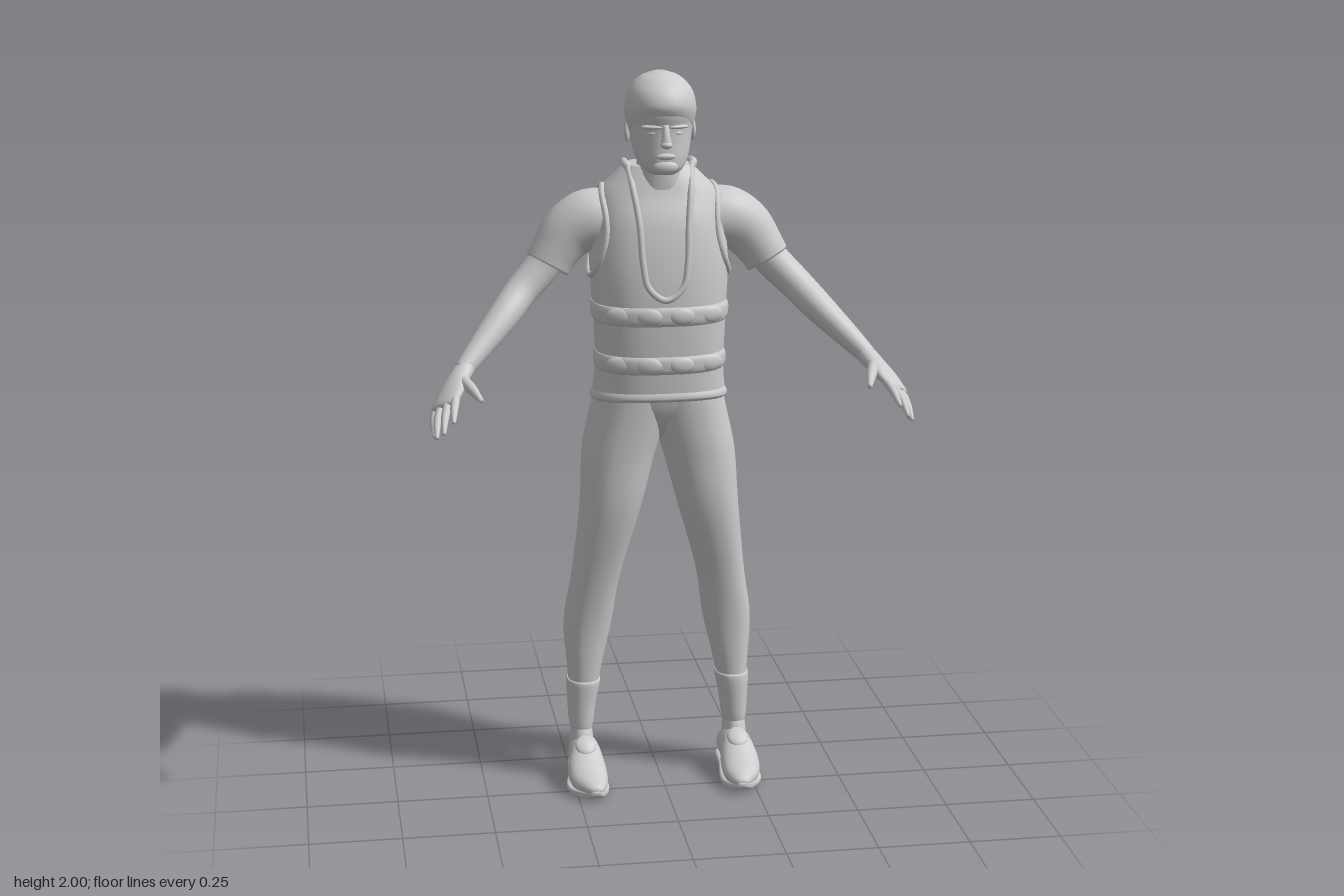
import * as THREE from 'three';

const V3 = (x, y, z) => new THREE.Vector3(x, y, z);

// Smooth interpolation through a list of number rows, t in 0..1
function sample(rows, t) {
  const f = Math.min(Math.max(t, 0), 1) * (rows.length - 1);
  const i = Math.min(Math.floor(f), rows.length - 2), u = f - i;
  const at = (k) => rows[Math.min(Math.max(k, 0), rows.length - 1)];
  const [a, b, c, d] = [at(i - 1), at(i), at(i + 1), at(i + 2)];
  return b.map((_, k) => {
    const m0 = (c[k] - a[k]) / 2, m1 = (d[k] - b[k]) / 2, u2 = u * u, u3 = u2 * u;
    return (2 * u3 - 3 * u2 + 1) * b[k] + (u3 - 2 * u2 + u) * m0 + (3 * u2 - 2 * u3) * c[k] + (u3 - u2) * m1;
  });
}

// Closed skin over superellipse rings {c, U, V}, with end caps
function skin(rings, n = 2, seg = 28) {
  const pos = [], idx = [], pw = (v) => Math.sign(v) * Math.abs(v) ** (2 / n);
  for (const { c, U, V } of rings) {
    for (let i = 0; i < seg; i++) {
      const a = (i / seg) * Math.PI * 2;
      const p = c.clone().addScaledVector(U, pw(Math.cos(a))).addScaledVector(V, pw(Math.sin(a)));
      pos.push(p.x, p.y, p.z);
    }
  }
  const last = rings.length - 1, base = pos.length / 3;
  for (let j = 0; j < last; j++) for (let i = 0; i < seg; i++) {
    const a = j * seg + i, b = j * seg + ((i + 1) % seg);
    idx.push(a, b, a + seg, b, b + seg, a + seg);
  }
  pos.push(...rings[0].c.toArray(), ...rings[last].c.toArray());
  for (let i = 0; i < seg; i++) {
    const k = (i + 1) % seg;
    idx.push(base, k, i, base + 1, last * seg + i, last * seg + k);
  }
  const g = new THREE.BufferGeometry();
  g.setAttribute('position', new THREE.Float32BufferAttribute(pos, 3));
  g.setIndex(idx);
  g.computeVertexNormals();
  return g;
}

const rowsToRings = (rows, map, steps) =>
  Array.from({ length: steps + 1 }, (_, i) => map(sample(rows, i / steps)));

// Upright form, rows from the bottom up: [y, xMin, xMax, zFront, zBack, backDrop]
const upright = (rows, n = 2.3, steps = rows.length * 4) => skin(rowsToRings(rows, ([y, x0, x1, zf, zb, d = 0]) => ({
  c: V3((x0 + x1) / 2, y, (zf + zb) / 2), U: V3((x1 - x0) / 2, 0, 0), V: V3(0, -d, (zb - zf) / 2),
}), steps), n);

// Symmetric upright form: [y, halfWidth, zFront, zBack, backDrop]
const centred = (rows, n, steps) => upright(rows.map(([y, w, f, b, d = 0]) => [y, -w, w, f, b, d]), n, steps);

// Form running front to back: [z, xCentre, halfWidth, yMin, yMax]
const lengthwise = (rows, n) => skin(rowsToRings(rows, ([z, x, w, y0, y1]) => ({
  c: V3(x, (y0 + y1) / 2, z), U: V3(w, 0, 0), V: V3(0, (y1 - y0) / 2, 0),
}), rows.length * 3), n);

// Limb along a path: [x, y, z, radius along wide, radius across]
function limb(rows, wide, seg = 20, steps = rows.length * 4) {
  const rings = [];
  for (let i = 0; i <= steps; i++) {
    const t = i / steps, r = sample(rows, t);
    const T = V3(...sample(rows, t + 0.02)).sub(V3(...sample(rows, t - 0.02))).normalize();
    const U = wide.clone().addScaledVector(T, -wide.dot(T)).normalize();
    const W = T.clone().cross(U);
    rings.push({ c: V3(r[0], r[1], r[2]), U: U.multiplyScalar(r[3]), V: W.multiplyScalar(r[4]) });
  }
  return skin(rings, 2, seg);
}

function blob(x, y, z, rx, ry, rz, rotX = 0, rotY = 0) {
  return new THREE.SphereGeometry(1, 16, 12).scale(rx, ry, rz).rotateX(rotX).rotateY(rotY).translate(x, y, z);
}
const tube = (pts, r, closed = false) =>
  new THREE.TubeGeometry(new THREE.CatmullRomCurve3(pts, closed), 72, r, 8, closed);

function mirrored(geo) {
  const g = geo.clone().scale(-1, 1, 1), a = g.index.array;
  for (let i = 0; i < a.length; i += 3) [a[i], a[i + 1]] = [a[i + 1], a[i]];
  g.computeVertexNormals();
  return g;
}

// Vest body and lookups on its surface
const VEST = [
  [1.115, 0.183, 0.02, -0.262, 0.015], [1.2, 0.175, 0.024, -0.24, 0], [1.3, 0.178, 0.028, -0.235, 0],
  [1.4, 0.184, 0.028, -0.248, 0], [1.5, 0.188, 0.018, -0.256, 0], [1.6, 0.178, -0.002, -0.256, 0],
  [1.67, 0.162, -0.03, -0.243, 0], [1.715, 0.122, -0.045, -0.222, 0], [1.75, 0.085, -0.06, -0.195, 0],
];
const VN = 2.5;
function vestAt(y) {
  let lo = 0, hi = 1;
  for (let i = 0; i < 24; i++) {
    const m = (lo + hi) / 2;
    if (sample(VEST, m)[0] < y) lo = m; else hi = m;
  }
  return sample(VEST, lo);
}
const bow = (u) => Math.max(0, 1 - Math.min(1, Math.abs(u)) ** VN) ** (1 / VN);
function onVest(x, y, side) {
  const [, w, f, b] = vestAt(y);
  return V3(x, y, (f + b) / 2 + side * ((f - b) / 2) * bow(x / w));
}
function onFlank(y, z) {
  const [, w, f, b] = vestAt(y);
  return V3(w * bow((z - (f + b) / 2) / ((f - b) / 2)), y, z);
}

export function createModel() {
  const model = new THREE.Group();
  const grey = new THREE.MeshStandardMaterial({ color: 0xcccccc });
  grey.name = 'light grey';
  const add = (name, geo) => {
    const m = new THREE.Mesh(geo, grey);
    m.name = name;
    model.add(m);
  };
  const pair = (name, geo) => { add(name + 'Left', geo); add(name + 'Right', mirrored(geo)); };

  // Head, hair and face
  add('neck', centred([[1.64, 0.09, -0.04, -0.2], [1.71, 0.066, -0.035, -0.175], [1.76, 0.06, -0.035, -0.165], [1.82, 0.06, -0.04, -0.16]]));
  add('head', centred([
    [1.735, 0.03, 0.004, -0.05], [1.75, 0.054, 0.017, -0.09], [1.78, 0.071, 0.02, -0.145], [1.82, 0.08, 0.018, -0.175],
    [1.86, 0.086, 0.018, -0.188], [1.9, 0.091, 0.026, -0.193], [1.95, 0.08, 0.01, -0.178], [1.985, 0.045, -0.03, -0.14],
  ], 2.1));
  add('hair', centred([
    [1.842, 0.083, 0.018, -0.184, 0.045], [1.852, 0.088, 0.026, -0.191, 0.042], [1.9, 0.095, 0.033, -0.198, 0.02],
    [1.95, 0.085, 0.018, -0.188, 0.005], [1.985, 0.054, -0.018, -0.15], [2.0, 0.014, -0.06, -0.105],
  ], 2.1));
  add('noseBridge', limb([[0, 1.868, 0.014, 0.009, 0.009], [0, 1.84, 0.023, 0.011, 0.012], [0, 1.817, 0.029, 0.016, 0.012]], V3(1, 0, 0), 12));
  add('noseTip', blob(0, 1.818, 0.031, 0.016, 0.01, 0.012));
  add('lips', blob(0, 1.786, 0.018, 0.026, 0.009, 0.009));
  add('chin', blob(0, 1.757, 0.01, 0.034, 0.02, 0.016));
  pair('brow', blob(0.035, 1.863, 0.006, 0.03, 0.006, 0.013, 0, 0.3));
  pair('eye', blob(0.033, 1.846, 0.002, 0.014, 0.006, 0.01, 0, 0.3));
  pair('ear', blob(0.087, 1.845, -0.095, 0.009, 0.032, 0.019, -0.15, 0.25));

  // Vest with piping, straps and hem
  add('vest', centred(VEST, VN, 48));
  const band = (y0, y1, o) => centred([0, 0.2, 0.5, 0.8, 1].map((t, i) => {
    const y = y0 + (y1 - y0) * t, [, w, f, b] = vestAt(y), e = [-0.002, 0.8, 1, 0.8, -0.002][i] * o;
    return [y, w + e, f + e, b - e * 0.6];
  }), VN, 12);
  add('chestStrap', band(1.33, 1.382, 0.006));
  add('waistStrap', band(1.197, 1.246, 0.006));
  add('vestHem', centred([
    [1.103, 0.18, 0.016, -0.259, 0.016], [1.11, 0.187, 0.024, -0.267, 0.016], [1.122, 0.187, 0.024, -0.266, 0.014], [1.135, 0.18, 0.019, -0.257, 0.013],
  ], VN));
  const half = [[0.086, 1.745], [0.078, 1.69], [0.066, 1.6], [0.06, 1.5], [0.046, 1.435]];
  for (const side of [1, -1]) {
    const pts = [...half.map(([x, y]) => [-x, y]), [0, 1.402], ...half.slice().reverse()];
    add(side > 0 ? 'frontCollarPiping' : 'backCollarPiping', tube(pts.map(([x, y]) => onVest(x, y, side)), 0.009));
  }
  pair('collarTop', tube([onVest(0.084, 1.742, 1), V3(0.092, 1.752, -0.1), V3(0.09, 1.75, -0.15), onVest(0.084, 1.742, -1)], 0.011));
  pair('armholePiping', tube(Array.from({ length: 16 }, (_, i) => {
    const a = (i / 16) * Math.PI * 2;
    return onFlank(1.57 + 0.118 * Math.sin(a), -0.125 + 0.088 * Math.cos(a) - 0.02 * Math.sin(a));
  }), 0.009, true));
  // Padded strap segments, front and back
  for (const side of [1, -1]) for (const y of [1.357, 1.222]) for (const x of [0.045, 0.125]) {
    const p = onVest(x, y, side);
    pair(side > 0 ? 'frontStrapPad' : 'backStrapPad', blob(p.x, y, p.z, 0.036, 0.023, 0.011, 0, side * x * 3));
  }

  // Sleeves, arms and hands
  const fore = V3(0, 0, 1);
  pair('sleeve', limb([
    [0.13, 1.59, -0.14, 0.08, 0.085], [0.185, 1.595, -0.14, 0.08, 0.085], [0.24, 1.565, -0.14, 0.074, 0.077],
    [0.28, 1.515, -0.133, 0.064, 0.066], [0.302, 1.478, -0.127, 0.058, 0.062],
  ], fore, 28));
  pair('arm', limb([
    [0.28, 1.515, -0.133, 0.046, 0.048], [0.325, 1.463, -0.126, 0.046, 0.048], [0.378, 1.41, -0.105, 0.046, 0.045],
    [0.43, 1.355, -0.055, 0.045, 0.042], [0.5, 1.285, 0.01, 0.034, 0.033], [0.55, 1.235, 0.055, 0.027, 0.025],
  ], fore));
  const spread = V3(0.6, -0.3, -0.6);
  pair('palm', limb([
    [0.538, 1.247, 0.043, 0.028, 0.026], [0.56, 1.222, 0.075, 0.034, 0.024],
    [0.583, 1.197, 0.115, 0.045, 0.02], [0.603, 1.172, 0.155, 0.044, 0.014], [0.608, 1.166, 0.165, 0.034, 0.008],
  ], spread));
  const fingers = {
    index: [[0.574, 1.192, 0.155], [0.583, 1.173, 0.215], [0.588, 1.15, 0.264]],
    middle: [[0.594, 1.178, 0.155], [0.607, 1.15, 0.21], [0.613, 1.118, 0.254]],
    ring: [[0.613, 1.163, 0.145], [0.626, 1.133, 0.19], [0.63, 1.1, 0.228]],
    little: [[0.624, 1.153, 0.125], [0.633, 1.125, 0.16], [0.634, 1.093, 0.187]],
    thumb: [[0.556, 1.224, 0.085], [0.533, 1.212, 0.16], [0.513, 1.196, 0.226]],
  };
  for (const [name, pts] of Object.entries(fingers)) {
    const k = name === 'thumb' ? 1.3 : 1;
    pair(name + 'Finger', limb(pts.map((p, i) => [...p, [0.012, 0.011, 0.005][i] * k, [0.012, 0.01, 0.005][i] * k]), spread, 10));
  }

  // Trousers with rear thigh patches and ankle cuffs
  add('hips', centred([[1.0, 0.02, -0.07, -0.18], [1.03, 0.07, -0.04, -0.215], [1.08, 0.15, -0.012, -0.24], [1.14, 0.172, 0.003, -0.245]]));
  pair('trouserLeg', upright([
    [0.14, 0.192, 0.248, -0.095, -0.193], [0.3, 0.166, 0.256, -0.086, -0.2], [0.45, 0.132, 0.265, -0.078, -0.221],
    [0.6, 0.108, 0.243, -0.055, -0.206], [0.8, 0.052, 0.221, -0.016, -0.206], [0.95, 0.012, 0.212, -0.008, -0.242],
    [1.05, -0.02, 0.193, -0.004, -0.255], [1.14, -0.04, 0.172, 0, -0.24],
  ]));
  pair('thighPatch', blob(0.1, 0.845, -0.197, 0.024, 0.075, 0.022, 0.12));
  pair('ankleCuff', upright([
    [0.14, 0.19, 0.249, -0.09, -0.196], [0.155, 0.186, 0.254, -0.085, -0.201], [0.22, 0.177, 0.258, -0.082, -0.202],
    [0.28, 0.165, 0.26, -0.08, -0.205], [0.288, 0.17, 0.255, -0.086, -0.198],
  ]));

  // Shoes
  pair('ankle', upright([[0.06, 0.185, 0.253, -0.07, -0.195], [0.12, 0.188, 0.252, -0.075, -0.192], [0.17, 0.195, 0.246, -0.098, -0.19]]));
  pair('shoe', lengthwise([
    [-0.204, 0.215, 0.022, 0.012, 0.06], [-0.185, 0.215, 0.036, 0.01, 0.09], [-0.13, 0.216, 0.042, 0.01, 0.12],
    [-0.07, 0.217, 0.047, 0.008, 0.126], [-0.02, 0.218, 0.054, 0.006, 0.094], [0.03, 0.215, 0.05, 0.005, 0.068],
    [0.075, 0.208, 0.029, 0.012, 0.052], [0.095, 0.205, 0.012, 0.025, 0.042],
  ], 2.1));
  pair('sole', lengthwise([
    [-0.206, 0.215, 0.025, 0.006, 0.02], [-0.185, 0.215, 0.04, 0.002, 0.024], [-0.1, 0.216, 0.045, 0.004, 0.024],
    [-0.02, 0.218, 0.058, 0, 0.022], [0.03, 0.215, 0.053, 0, 0.022], [0.075, 0.208, 0.03, 0.006, 0.028], [0.096, 0.205, 0.012, 0.02, 0.034],
  ], 4));
  pair('shoeTongue', blob(0.217, 0.112, -0.055, 0.03, 0.012, 0.034, 0.55));

  return model;
}
